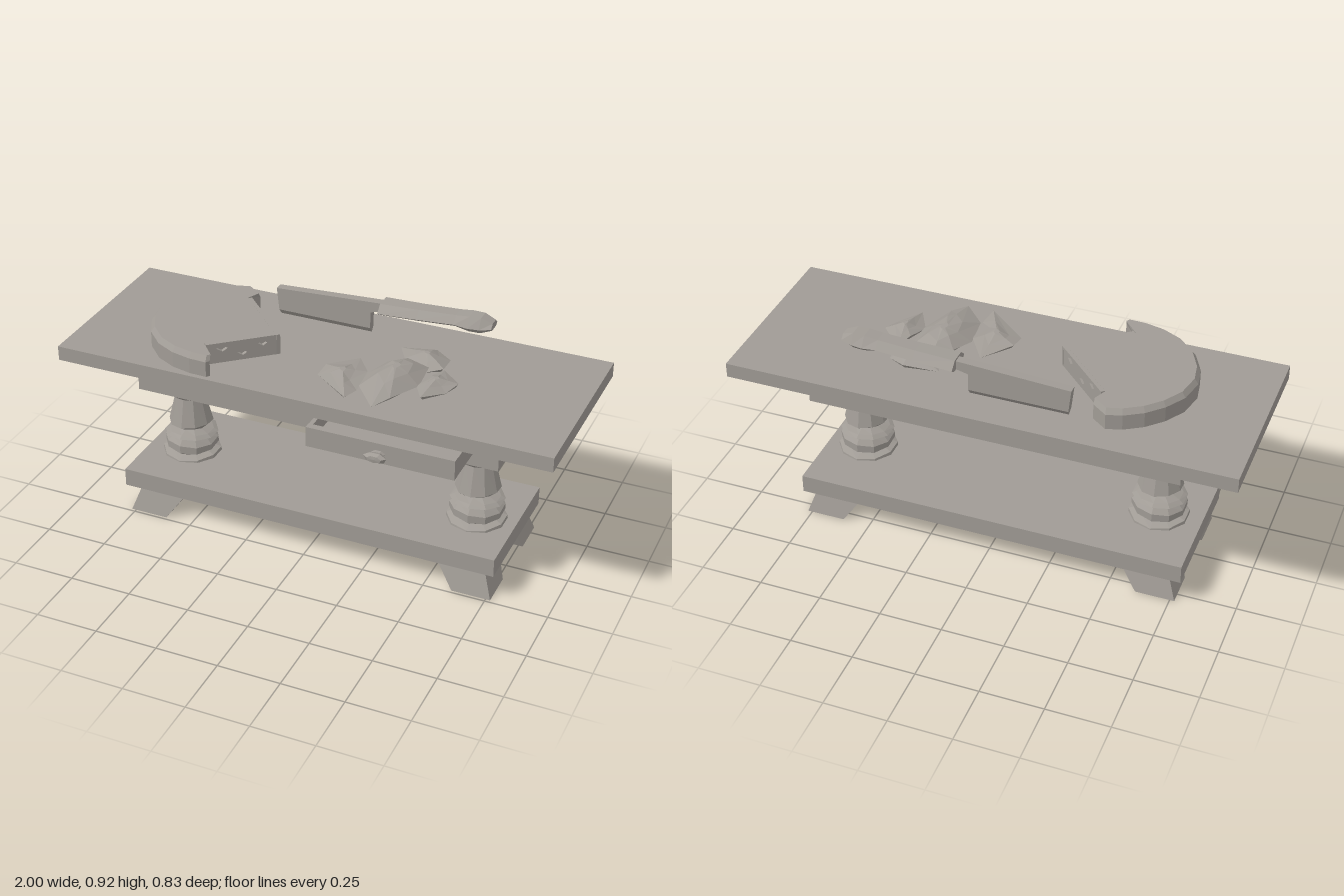
import * as THREE from 'three';

const stone = new THREE.MeshStandardMaterial({ color: 0xa09b95, flatShading: true });
stone.name = 'warm grey';

function add(parent, name, geo) {
  const mesh = new THREE.Mesh(geo, stone);
  mesh.name = name;
  parent.add(mesh);
  return mesh;
}

// Box given by its limits on each axis
function block(parent, name, [x0, x1], [y0, y1], [z0, z1]) {
  const geo = new THREE.BoxGeometry(x1 - x0, y1 - y0, z1 - z0);
  return add(parent, name, geo.translate((x0 + x1) / 2, (y0 + y1) / 2, (z0 + z1) / 2));
}

// Skin over rings of points; each ring runs anticlockwise seen from the last ring's side
function loft(rings) {
  const n = rings[0].length, last = (rings.length - 1) * n, index = [];
  for (let r = 0; r < last; r += n) {
    for (let i = 0; i < n; i++) {
      const j = (i + 1) % n;
      index.push(r + i, r + j, r + n + i, r + j, r + n + j, r + n + i);
    }
  }
  for (let i = 1; i < n - 1; i++) index.push(0, i + 1, i, last, last + i, last + i + 1);
  const geo = new THREE.BufferGeometry();
  geo.setAttribute('position', new THREE.Float32BufferAttribute(rings.flat(2), 3));
  geo.setIndex(index);
  geo.computeVertexNormals();
  return geo;
}

function rectRing(x0, x1, y, z0, z1) {
  return [[x0, y, z1], [x1, y, z1], [x1, y, z0], [x0, y, z0]];
}

function shapeOf(points) {
  return new THREE.Shape(points.map(([x, y]) => new THREE.Vector2(x, y)));
}

// Turned leg with slightly uneven, hand-carved rings
function leg(parent, name, x) {
  const profile = [[0.12, 0.18], [0.118, 0.195], [0.085, 0.207], [0.108, 0.222], [0.108, 0.25], [0.085, 0.272],
    [0.108, 0.28], [0.09, 0.29], [0.055, 0.3], [0.062, 0.305], [0.09, 0.328], [0.063, 0.44], [0.08, 0.465],
    [0.056, 0.492], [0.072, 0.508], [0.08, 0.53]];
  const geo = new THREE.LatheGeometry(profile.map(p => new THREE.Vector2(...p)), 10);
  const pos = geo.attributes.position;
  for (let i = 0; i < pos.count; i++) {
    const a = Math.atan2(pos.getZ(i), pos.getX(i)), y = pos.getY(i);
    if (y > 0.19 && y < 0.52) pos.setY(i, y + 0.005 * Math.sin(2 * a + y * 40));
  }
  add(parent, name, geo.translate(x, 0, -0.017));
}

// Broken chunk: an outline on the table rising to an off-centre peak
function chunk(parent, outline, [px, py, pz]) {
  const ring = (s, y, lift) => outline.map(([x, z], i) =>
    [px + (x - px) * s, y + (i % 2) * lift, pz + (z - pz) * s]).reverse();
  add(parent, 'cheeseChunk', loft([ring(0.85, 0.744, 0), ring(1, 0.752, 0.01),
    ring(0.5, py - 0.018, 0.008), ring(0.12, py, 0)]));
}

export function createModel() {
  const model = new THREE.Group();
  model.name = 'table';

  // Table structure
  block(model, 'tableTop', [-1, 1], [0.686, 0.745], [-0.415, 0.324]);
  block(model, 'apron', [-0.75, 0.745], [0.524, 0.69], [-0.248, 0.155]);
  block(model, 'lowerBoard', [-0.79, 0.775], [0.11, 0.185], [-0.305, 0.236]);
  leg(model, 'rightLeg', -0.615);
  leg(model, 'leftLeg', 0.615);

  // Splayed feet
  for (const s of [-1, 1]) {
    for (const [b0, b1, t0, t1] of [[0.09, 0.238, 0.04, 0.203], [-0.292, -0.147, -0.26, -0.095]]) {
      const xs = (a, b) => (s > 0 ? [a, b] : [-b, -a]);
      const [lo, hi] = [xs(0.612, 0.768), xs(0.53, 0.728)];
      add(model, 'foot', loft([rectRing(...lo, 0, b0, b1), rectRing(...hi, 0.115, t0, t1)]));
    }
  }

  // Open drawer
  const drawer = new THREE.Group();
  drawer.name = 'drawer';
  model.add(drawer);
  block(drawer, 'drawerFront', [0.068, 0.652], [0.588, 0.67], [0.342, 0.37]);
  block(drawer, 'drawerBottom', [0.08, 0.64], [0.592, 0.607], [0.15, 0.345]);
  block(drawer, 'drawerSide', [0.068, 0.085], [0.59, 0.668], [0.15, 0.345]);
  block(drawer, 'drawerSide', [0.635, 0.652], [0.59, 0.668], [0.15, 0.345]);
  const knob = new THREE.LatheGeometry([[0.013, -0.005], [0.012, 0.012], [0.022, 0.034], [0.014, 0.047], [0, 0.049]]
    .map(p => new THREE.Vector2(...p)), 7);
  add(drawer, 'drawerKnob', knob.rotateX(Math.PI / 2).scale(2.1, 1, 1).translate(0.357, 0.629, 0.37));

  // Cheese wheel with a wedge-shaped cut side
  const cheese = new THREE.Group();
  cheese.name = 'cheese';
  model.add(cheese);
  const rim = [[-0.41, -0.255], [-0.47, -0.3], [-0.53, -0.283], [-0.6, -0.24], [-0.66, -0.18], [-0.71, -0.1],
    [-0.73, 0], [-0.715, 0.085], [-0.67, 0.175], [-0.6, 0.245], [-0.52, 0.285], [-0.44, 0.303], [-0.37, 0.305],
    [-0.36, 0.29], [-0.422, 0.211], [-0.213, 0.03], [-0.433, -0.19]];
  const wheel = new THREE.ExtrudeGeometry(shapeOf(rim.map(([x, z]) => [x, -z])),
    { depth: 0.085, steps: 4, bevelEnabled: false }).rotateX(-Math.PI / 2).translate(0, 0.744, 0);
  const wp = wheel.attributes.position;
  for (let i = 0; i < wp.count; i++) {
    const dx = wp.getX(i) + 0.42, z = wp.getZ(i);
    if (wp.getY(i) > 0.82 && Math.hypot(dx, z) > 0.25) wp.setXYZ(i, dx * 0.95 - 0.42, wp.getY(i), z * 0.95);
  }
  add(cheese, 'cheeseWheel', wheel);

  // Cut faces with pitted holes: [distance along, height, size]
  const cuts = [
    [[-0.41, 0.22], [-0.19, 0.03], [[0.06, 0.06, 0.016], [0.14, 0.03, 0.013], [0.22, 0.058, 0.013]]],
    [[-0.19, 0.03], [-0.42, -0.2], [[0.07, 0.06, 0.015], [0.17, 0.032, 0.014], [0.25, 0.062, 0.013]]],
  ];
  for (const [[x0, z0], [x1, z1], pits] of cuts) {
    const len = Math.hypot(x1 - x0, z1 - z0);
    const face = shapeOf([[0, 0], [len, 0], [len, 0.085], [0, 0.085]]);
    for (const [u, v, r] of pits) {
      face.holes.push(new THREE.Path([[-1.4, 0.2], [0.2, -0.8], [1.5, 0], [0.3, 0.9]]
        .map(([a, b]) => new THREE.Vector2(u + a * r, v + b * r))));
    }
    const slab = new THREE.ExtrudeGeometry(face, { depth: 0.016, bevelEnabled: false }).translate(0, 0, -0.016);
    const mesh = add(cheese, 'cheeseCutFace', slab);
    mesh.position.set(x0, 0.744, z0);
    mesh.rotation.y = Math.atan2(z0 - z1, x1 - x0);
  }

  // Broken chunks
  chunk(model, [[0.11, -0.05], [0.18, 0.05], [0.19, 0.18], [0.175, 0.26], [0.01, 0.13], [0.015, 0.06]], [0.1, 0.782, 0.1]);
  chunk(model, [[0.28, -0.13], [0.38, -0.07], [0.39, 0.06], [0.33, 0.2], [0.285, 0.27], [0.19, 0.16],
    [0.18, 0.04], [0.22, -0.05]], [0.29, 0.805, 0.03]);
  chunk(model, [[0.22, -0.19], [0.36, -0.21], [0.43, -0.17], [0.435, -0.08], [0.38, -0.05], [0.27, -0.1]], [0.35, 0.79, -0.13]);
  chunk(model, [[0.435, -0.09], [0.525, 0], [0.5, 0.07], [0.43, 0.15], [0.38, 0.06], [0.41, -0.02]], [0.45, 0.785, 0.03]);

  // Knife standing on its edge
  const knife = new THREE.Group();
  knife.name = 'knife';
  model.add(knife);
  const blade = shapeOf([[-0.335, 0.865], [-0.325, 0.772], [0.065, 0.772], [0.065, 0.842], [0.13, 0.858], [0.13, 0.89]]);
  add(knife, 'blade', new THREE.ExtrudeGeometry(blade, { depth: 0.035, bevelEnabled: false }).translate(0, 0, -0.285));
  add(knife, 'cuttingEdge', loft([rectRing(-0.322, 0.065, 0.75, -0.27, -0.265),
    rectRing(-0.325, 0.065, 0.772, -0.285, -0.25)]));

  // Handle sections: x, middle height, half height, half width
  const sections = [[0.112, 0.875, 0.022, 0.062], [0.27, 0.881, 0.022, 0.057], [0.42, 0.89, 0.022, 0.053],
    [0.475, 0.888, 0.03, 0.055], [0.52, 0.888, 0.031, 0.048], [0.565, 0.888, 0.014, 0.036]];
  const hex = [[-0.6, -1], [-1, -0.3], [-0.5, 1], [0.5, 1], [1, -0.3], [0.6, -1]];
  add(knife, 'handle', loft(sections.map(([x, y, h, w]) => hex.map(([a, b]) => [x, y + b * h, -0.264 + a * w]))));

  return model;
}
